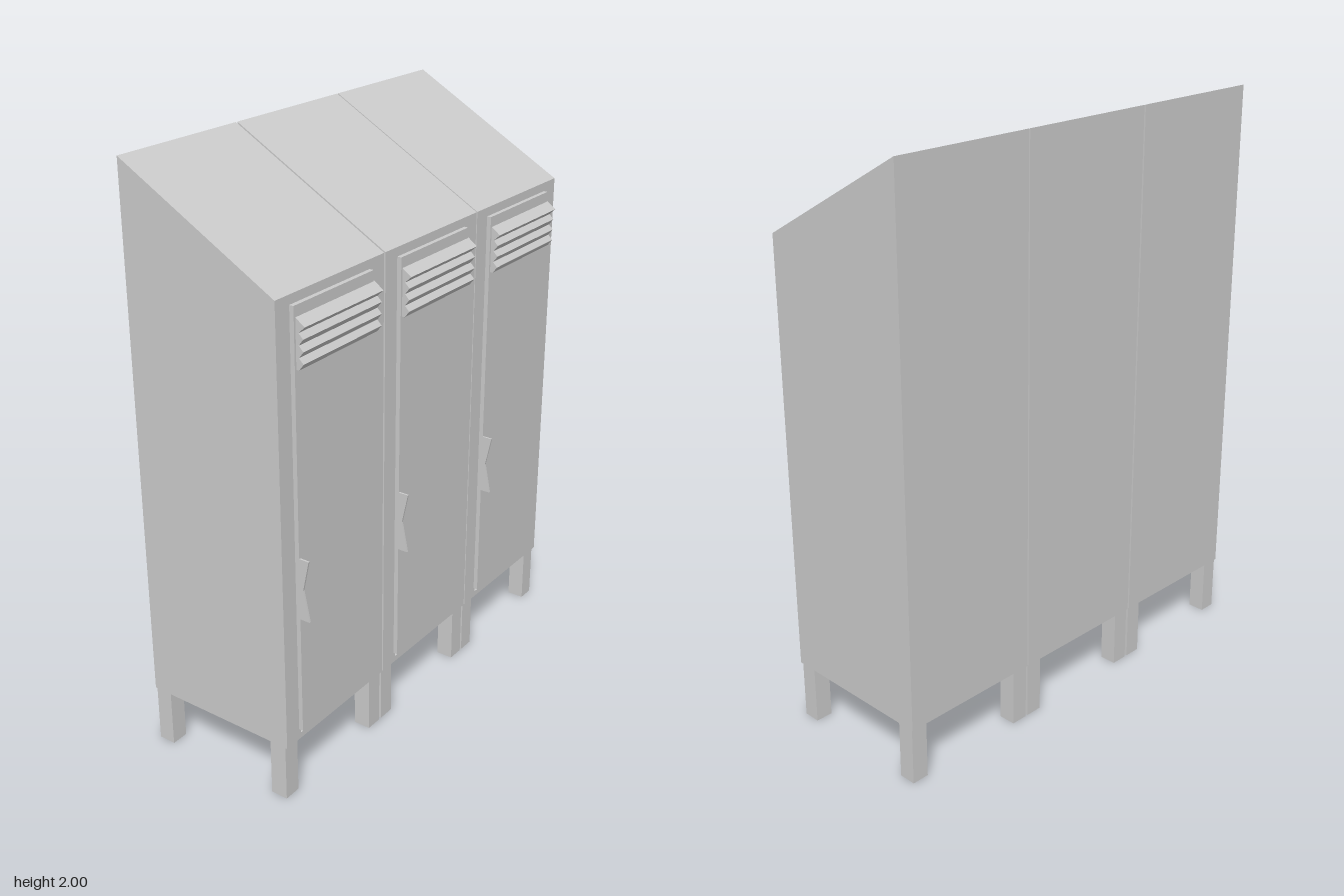
import * as THREE from 'three';

const FRONT = 0.255, BACK = -0.305, BASE = 0.2, EAVE = 1.685, TOP = 2;
const WIDTH = 0.514, T = 0.01;
const material = new THREE.MeshStandardMaterial({ color: 0xcccccc, flatShading: true });

function add(group, name, geometry, x = 0, y = 0, z = 0) {
  const mesh = new THREE.Mesh(geometry, material);
  mesh.name = name;
  mesh.position.set(x, y, z);
  group.add(mesh);
}

// Extrudes a [z, y] outline across x, centred on x = 0
function acrossX(points, width) {
  const shape = new THREE.Shape(points.map(([z, y]) => new THREE.Vector2(z, y)));
  return new THREE.ExtrudeGeometry(shape, { depth: width, bevelEnabled: false })
    .rotateY(-Math.PI / 2)
    .translate(width / 2, 0, 0);
}

function rectangle(PathType, x0, y0, x1, y1) {
  return new PathType([[x0, y0], [x1, y0], [x1, y1], [x0, y1]].map(p => new THREE.Vector2(...p)));
}

function createLocker() {
  const locker = new THREE.Group();
  const inner = WIDTH - 2 * T;

  // Side panels with the sloping top edge
  const side = [[FRONT, BASE], [FRONT, EAVE], [BACK, TOP], [BACK, BASE]];
  for (const s of [-1, 1]) {
    add(locker, s > 0 ? 'leftSidePanel' : 'rightSidePanel', acrossX(side, T), s * (WIDTH - T) / 2);
  }

  // Floor, back and sloping roof in one folded sheet
  add(locker, 'floorBackAndRoof', acrossX([
    [FRONT, BASE], [BACK, BASE], [BACK, TOP], [FRONT, EAVE],
    [FRONT, EAVE - T], [BACK + T, TOP - 2 * T], [BACK + T, BASE + T], [FRONT, BASE + T],
  ], inner));

  // Front frame around the door opening
  const frame = rectangle(THREE.Shape, -inner / 2, BASE + T, inner / 2, EAVE - T);
  frame.holes.push(rectangle(THREE.Path, -0.187, 0.22, 0.187, 1.645));
  add(locker, 'frontFrame', new THREE.ExtrudeGeometry(frame, { depth: T, bevelEnabled: false }), 0, 0, FRONT - T);

  // Door
  add(locker, 'door', new THREE.BoxGeometry(0.378, 1.417, 0.015), -0.006, 0.9465, FRONT + 0.0075);

  // Louvred vent: sawtooth of four slats
  const vent = [[0.262, 1.464], [0.262, 1.62], [0.27, 1.62]];
  for (let i = 0; i < 4; i++) {
    const y = 1.597 - i * 0.0373;
    vent.push([i === 0 ? 0.302 : 0.296, y], [0.28, y - 0.021]);
  }
  add(locker, 'louvredVent', acrossX(vent, 0.376));

  // Handle: thin plate, waisted in the middle
  add(locker, 'handle', acrossX([
    [0.262, 0.65], [0.262, 0.86], [0.305, 0.86], [0.283, 0.755], [0.305, 0.65],
  ], 0.006), -0.192);

  // Legs
  for (const x of [-0.225, 0.225]) {
    for (const z of [0.216, -0.27]) {
      add(locker, 'leg', new THREE.BoxGeometry(0.06, BASE, 0.06), x, BASE / 2, z);
    }
  }
  return locker;
}

export function createModel() {
  const model = new THREE.Group();
  model.name = 'lockers';
  [['rightLocker', -0.521], ['middleLocker', 0], ['leftLocker', 0.519]].forEach(([name, x]) => {
    const locker = createLocker();
    locker.name = name;
    locker.position.x = x;
    model.add(locker);
  });
  return model;
}
